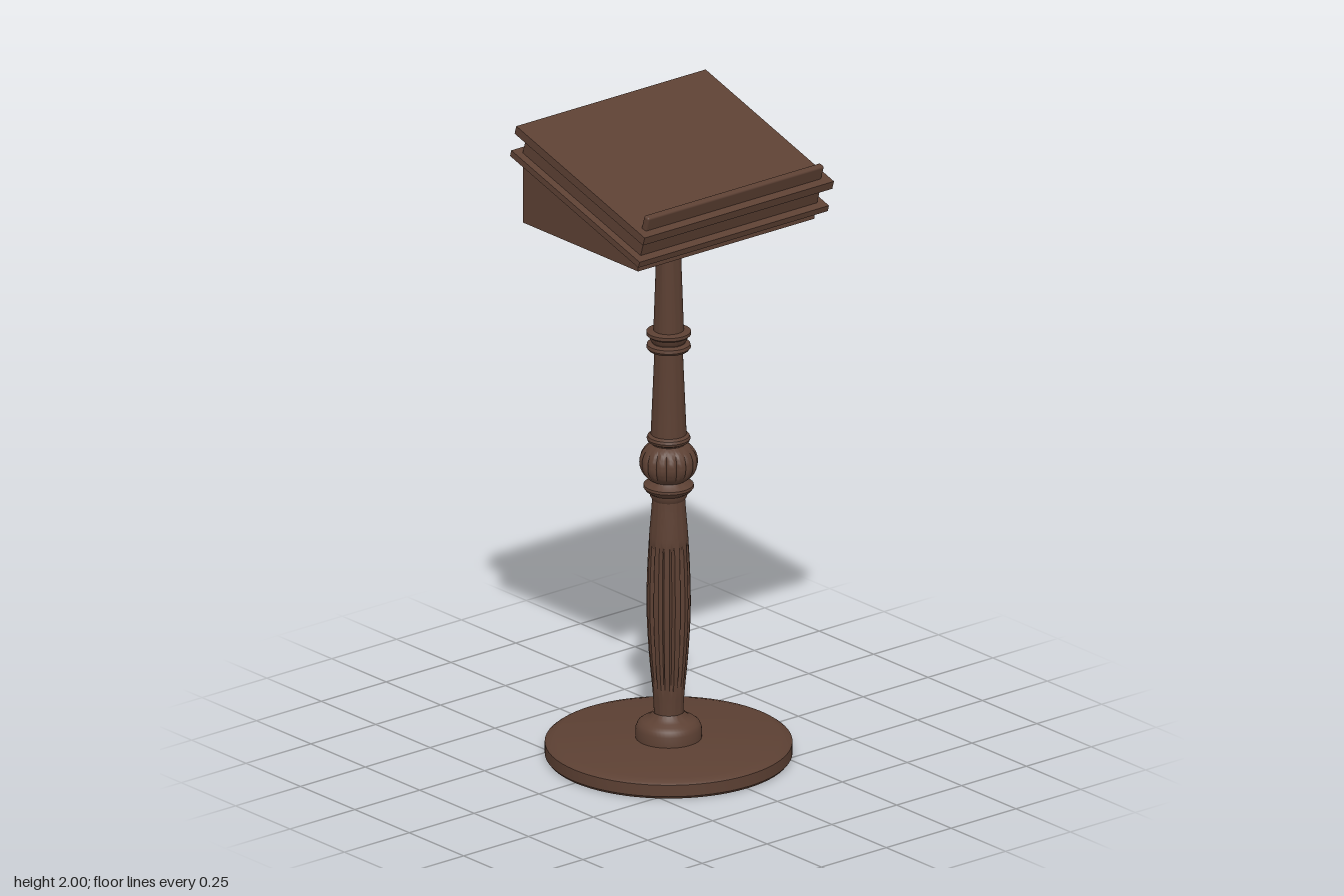
import * as THREE from 'three';
import { toCreasedNormals } from 'three/addons/utils/BufferGeometryUtils.js';
import { RoundedBoxGeometry } from 'three/addons/geometries/RoundedBoxGeometry.js';

const TILT = 0.298; // slope of the reading desk

export function createModel() {
  const model = new THREE.Group();
  model.name = 'lectern';
  const wood = new THREE.MeshStandardMaterial({ color: 0x5c4033 });
  wood.name = 'dark wood';

  const add = (name, geometry, parent = model) => {
    const mesh = new THREE.Mesh(geometry, wood);
    mesh.name = name;
    parent.add(mesh);
    return mesh;
  };

  // Turned part from [radius, y] points; carve(angle, y) scales the radius
  const turned = (name, points, segments = 48, carve = null, crease = 0.6) => {
    const g = new THREE.LatheGeometry(points.map(([r, y]) => new THREE.Vector2(r, y)), segments);
    if (carve) {
      const p = g.attributes.position;
      for (let i = 0; i < p.count; i++) {
        const k = carve(Math.atan2(p.getX(i), p.getZ(i)), p.getY(i));
        p.setX(i, p.getX(i) * k);
        p.setZ(i, p.getZ(i) * k);
      }
    }
    return add(name, toCreasedNormals(g, crease));
  };

  // Round foot
  turned('baseDisc', [[0, 0], [0.36, 0], [0.366, 0.008], [0.366, 0.044], [0.358, 0.05],
    [0.335, 0.056], [0, 0.06]], 72);
  turned('baseCollar', [[0.098, 0.056], [0.098, 0.09], [0.092, 0.105], [0.08, 0.114],
    [0.066, 0.12], [0.055, 0.128], [0.046, 0.14]]);

  // Lower shaft with tapering flutes
  const shaftCurve = new THREE.SplineCurve([[0.043, 0.13], [0.047, 0.2], [0.058, 0.32], [0.065, 0.45],
    [0.064, 0.57], [0.058, 0.69], [0.051, 0.78], [0.048, 0.825]].map(p => new THREE.Vector2(...p)));
  const shaftPoints = shaftCurve.getPoints(56).map(v => [v.x, v.y]);
  turned('flutedShaft', shaftPoints, 144, (a, y) => {
    const ends = THREE.MathUtils.smoothstep(y, 0.2, 0.25) * (1 - THREE.MathUtils.smoothstep(y, 0.655, 0.685));
    const groove = Math.max(0, Math.cos(a * 12)) ** 0.7;
    return 1 - 0.17 * ends * groove;
  }, 0.7);

  // Ring below the ball
  turned('lowerRing', [[0.048, 0.81], [0.055, 0.822], [0.056, 0.832], [0.068, 0.84], [0.075, 0.85],
    [0.074, 0.858], [0.06, 0.866], [0.052, 0.874], [0.05, 0.885]]);

  // Lobed ball
  const ball = [];
  for (let i = 0; i <= 20; i++) {
    const t = -1.15 + (2.3 * i) / 20;
    ball.push([0.022 + 0.065 * Math.cos(t), 0.93 + 0.064 * Math.sin(t)]);
  }
  turned('lobedBall', ball, 128, (a, y) => {
    const mid = Math.max(0, 1 - ((y - 0.93) / 0.06) ** 2);
    return 1 - 0.09 * mid * (1 - Math.abs(Math.sin(a * 8))) ** 2;
  }, 0.7);

  // Upper shaft with its rings and flared capital
  turned('upperShaft', [[0.048, 0.98], [0.053, 0.995], [0.053, 1.02], [0.042, 1.28],
    [0.045, 1.35], [0.037, 1.58], [0.038, 1.605]]);
  turned('shaftFootRing', [[0.05, 0.99], [0.062, 0.996], [0.065, 1.004], [0.062, 1.012], [0.05, 1.02]]);
  turned('middleRingLower', [[0.042, 1.28], [0.06, 1.284], [0.066, 1.292], [0.064, 1.302],
    [0.05, 1.307], [0.048, 1.314]]);
  turned('middleRingUpper', [[0.048, 1.306], [0.055, 1.316], [0.058, 1.326], [0.066, 1.332],
    [0.066, 1.342], [0.044, 1.346]]);
  turned('capital', [[0.037, 1.598], [0.045, 1.606], [0.046, 1.618], [0.062, 1.63], [0.068, 1.642],
    [0.07, 1.648], [0.082, 1.656], [0.087, 1.666], [0.087, 1.692]]);

  // Wedge-shaped desk body, extruded across the width
  const desk = new THREE.Group();
  desk.name = 'desk';
  model.add(desk);
  const side = new THREE.Shape([[-0.265, 1.69], [0.265, 1.69], [0.265, 1.893], [-0.265, 1.73]]
    .map(p => new THREE.Vector2(...p)));
  const body = new THREE.ExtrudeGeometry(side, { depth: 0.68, bevelEnabled: false });
  body.translate(0, 0, -0.34).rotateY(Math.PI / 2);
  add('deskBody', body, desk);

  // Sloping boards and book ledge
  const board = (name, geometry, y, z) => {
    const mesh = add(name, geometry, desk);
    mesh.position.set(0, y, z);
    mesh.rotation.x = TILT;
  };
  board('lowerMoulding', new THREE.BoxGeometry(0.73, 0.02, 0.617), 1.817, 0.004);
  board('deskFrieze', new THREE.BoxGeometry(0.68, 0.062, 0.567), 1.8555, 0.0145);
  board('readingBoard', new THREE.BoxGeometry(0.73, 0.027, 0.617), 1.897, 0.026);
  board('bookLedge', new RoundedBoxGeometry(0.68, 0.052, 0.022, 3, 0.007), 1.848, 0.2945);

  return model;
}
